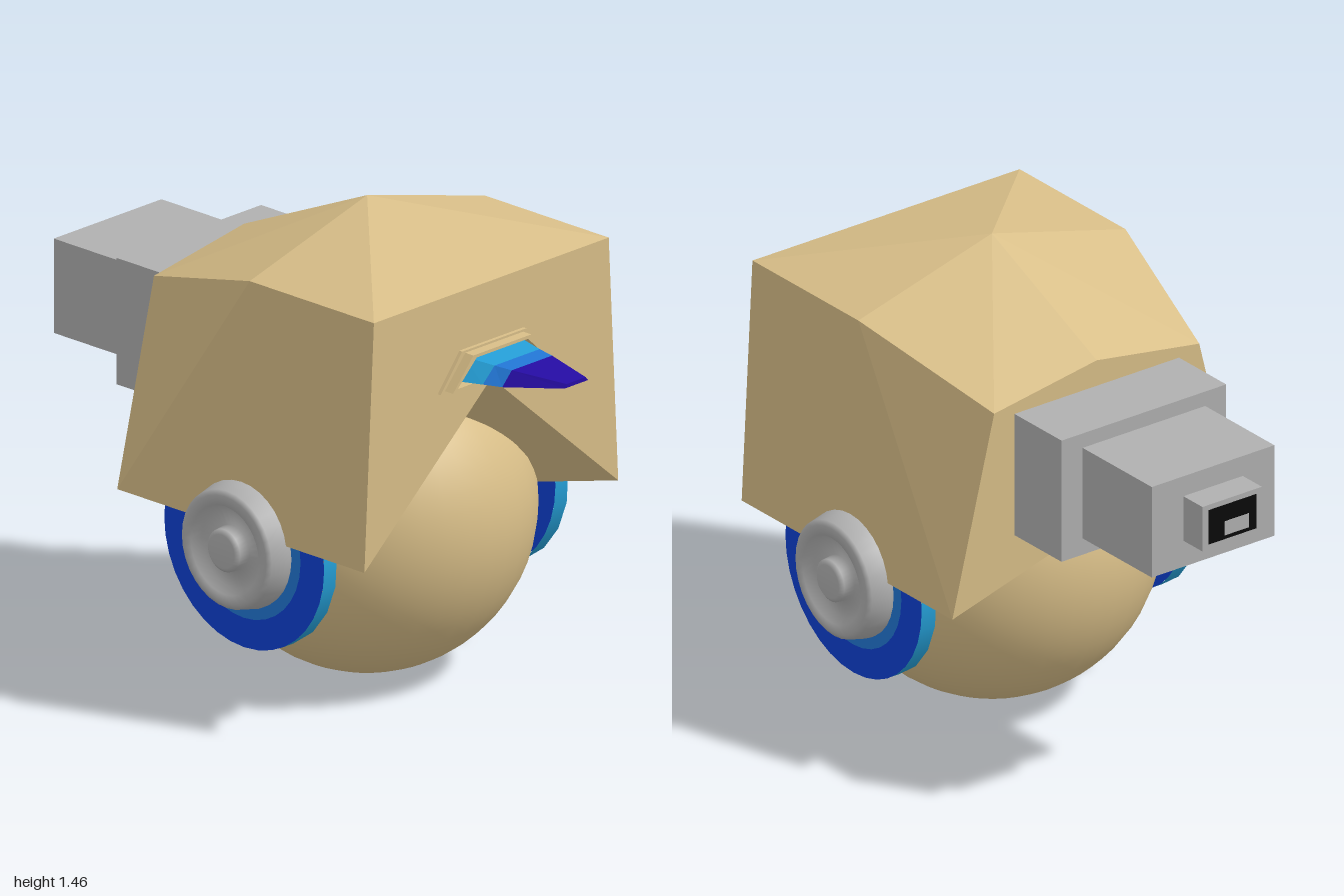
import * as THREE from 'three';

const mat = (name, color) => Object.assign(new THREE.MeshStandardMaterial({ color }), { name });

// Flat-faced solid from triangles, each turned to face away from a centre
function solid(tris, centre) {
  const pos = [];
  for (const [a, b, c] of tris) {
    const [A, B, C] = [a, b, c].map(p => new THREE.Vector3(...p));
    const n = B.clone().sub(A).cross(C.clone().sub(A));
    const mid = A.clone().add(B).add(C).divideScalar(3).sub(centre);
    pos.push(...a, ...(n.dot(mid) > 0 ? [...b, ...c] : [...c, ...b]));
  }
  const g = new THREE.BufferGeometry();
  g.setAttribute('position', new THREE.Float32BufferAttribute(pos, 3));
  g.computeVertexNormals();
  return g;
}

// Solid between two trapezoid sections [z, top half width, bottom half width, top y, bottom y]
function loft(s0, s1) {
  const ring = ([z, wt, wb, yt, yb]) => [[-wb, yb, z], [wb, yb, z], [wt, yt, z], [-wt, yt, z]];
  const a = ring(s0), b = ring(s1), tris = [];
  for (let i = 0; i < 4; i++) {
    const j = (i + 1) % 4;
    tris.push([a[i], a[j], b[j]], [a[i], b[j], b[i]]);
  }
  tris.push([a[0], a[1], a[2]], [a[0], a[2], a[3]], [b[0], b[1], b[2]], [b[0], b[2], b[3]]);
  return solid(tris, new THREE.Vector3(0, (s0[3] + s0[4] + s1[3] + s1[4]) / 4, (s0[0] + s1[0]) / 2));
}

export function createModel() {
  const model = new THREE.Group();
  const tan = mat('tan', 0xd8be88), grey = mat('grey', 0xb0b0b0), black = mat('black', 0x0a0a0a);
  const blue = mat('blue', 0x0f42d6), midBlue = mat('midBlue', 0x2277d6);
  const cyan = mat('cyan', 0x25a0d8), indigo = mat('indigo', 0x260ca4);

  const add = (name, geo, m, parent = model) => {
    const mesh = new THREE.Mesh(geo, m);
    mesh.name = name;
    parent.add(mesh);
    return mesh;
  };
  const box = (name, x0, x1, y0, y1, z0, z1, m) =>
    add(name, new THREE.BoxGeometry(x1 - x0, y1 - y0, z1 - z0), m)
      .position.set((x0 + x1) / 2, (y0 + y1) / 2, (z0 + z1) / 2);

  // Ball body
  add('ballBody', new THREE.SphereGeometry(0.502, 40, 28), tan).position.set(0, 0.502, 0.15);

  // Faceted hood: one half, mirrored
  const fc = [0, 1.325, 0.655], ft = [0.495, 1.325, 0.655], fb = [0.535, 0.555, 0.655], fa = [0, 1.02, 0.655];
  const pk = [0, 1.46, 0.15], md = [0.495, 1.325, 0.15], uc = [0, 0.555, 0.15];
  const bc = [0, 1.24, -0.35], bt = [0.38, 1.18, -0.35], bb = [0.535, 0.555, -0.35], ba = [0, 0.71, -0.35];
  const half = [
    [fc, ft, fb], [fc, fb, fa],                 // front
    [fc, ft, pk], [ft, md, pk],                 // front roof
    [pk, md, bt], [pk, bt, bc],                 // back roof
    [ft, fb, md], [fb, bb, md], [md, bb, bt],   // side
    [bt, bb, ba], [bt, ba, bc],                 // back
    [fa, fb, uc], [fb, bb, uc], [bb, ba, uc],   // underside
  ];
  const mirrored = half.map(t => t.map(([x, y, z]) => [-x, y, z]));
  add('hood', solid([...half, ...mirrored], new THREE.Vector3(0, 1.12, 0.15)), tan);

  // Slot frame on the front, in two steps
  const trapezoid = (Type, wt, wb, yt, yb) => new Type(
    [[-wb, yb], [wb, yb], [wt, yt], [-wt, yt]].map(p => new THREE.Vector2(...p)));
  const frame = (name, depth, wt, wb, yt, yb) => {
    const shape = trapezoid(THREE.Shape, wt, wb, yt, yb);
    shape.holes.push(trapezoid(THREE.Path, 0.108, 0.188, 1.125, 1.048));
    add(name, new THREE.ExtrudeGeometry(shape, { depth, bevelEnabled: false }), tan).position.z = 0.655;
  };
  frame('slotFrameBase', 0.012, 0.135, 0.226, 1.142, 1.03);
  frame('slotFrame', 0.045, 0.122, 0.208, 1.135, 1.038);
  add('slotOpening', loft([0.653, 0.108, 0.188, 1.125, 1.048], [0.66, 0.108, 0.188, 1.125, 1.048]), black);

  // Banded blade in the slot
  const sections = [
    [0.656, 0.115, 0.175, 1.118, 1.06], [0.76, 0.095, 0.145, 1.112, 1.066],
    [0.82, 0.085, 0.125, 1.11, 1.068], [1.0, 0.04, 0.05, 1.102, 1.09],
  ];
  [cyan, midBlue, indigo].forEach((m, i) => add('bladeBand' + (i + 1), loft(sections[i], sections[i + 1]), m));

  // Stepped rear barrel
  box('barrelBase', -0.305, 0.305, 0.762, 1.157, -0.575, -0.345, grey);
  box('barrelMiddle', -0.227, 0.227, 0.815, 1.11, -0.905, -0.575, grey);
  box('barrelTip', -0.11, 0.11, 0.9, 1.045, -0.996, -0.905, grey);
  box('barrelOpening', -0.088, 0.088, 0.917, 1.028, -0.998, -0.995, black);
  box('barrelInset', -0.06, 0.03, 0.93, 0.975, -1.0, -0.995, grey);

  // Side wheels, built along +x and turned round for the other side
  const wheel = () => {
    const g = new THREE.Group();
    g.name = 'wheel';
    const alongX = geo => geo.rotateZ(-Math.PI / 2);
    const R = 0.325, w = 0.055, gap = 0.47;
    const rim = (name, start, length, segs, m) =>
      add(name, alongX(new THREE.CylinderGeometry(R, R, w, segs, 1, true, start, length)), m, g).position.x = 0.4875;
    rim('tyreRim', Math.PI / 2 + gap, Math.PI * 2 - gap * 2, 18, cyan);
    rim('tyreFoot', Math.PI / 2 - gap, gap * 2, 3, grey);
    for (const s of [1, -1]) {
      const face = new THREE.RingGeometry(0.15, R, 36).rotateY(s * Math.PI / 2);
      add('tyreFace', face, blue, g).position.x = 0.4875 + s * w / 2;
    }
    add('tyreInnerRing', new THREE.RingGeometry(0.15, 0.232, 32).rotateY(Math.PI / 2), midBlue, g).position.x = 0.518;
    // Hub with a recessed face and a centre knob
    const profile = [[0.19, 0.46], [0.196, 0.53], [0.183, 0.588], [0.168, 0.597], [0.138, 0.597],
      [0.125, 0.565], [0.07, 0.565], [0.066, 0.6], [0.052, 0.611], [0, 0.611]];
    const hub = new THREE.LatheGeometry(profile.map(p => new THREE.Vector2(...p)), 32);
    add('hub', alongX(hub), grey, g);
    g.position.set(0, 0.51, 0.147);
    model.add(g);
    return g;
  };
  wheel().name = 'leftWheel';
  const right = wheel();
  right.name = 'rightWheel';
  right.rotation.y = Math.PI;

  return model;
}
